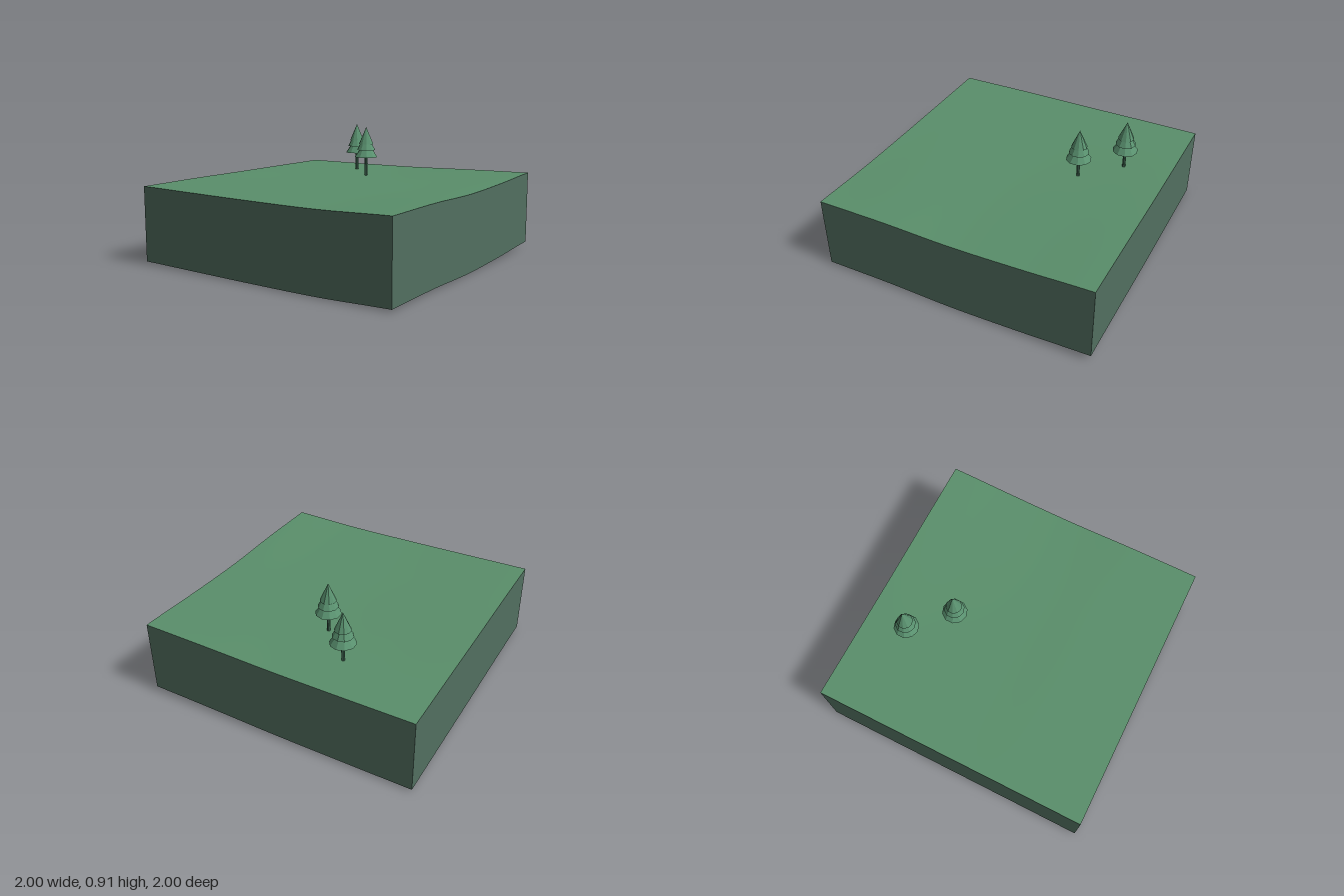
import * as THREE from 'three';

const SKIRT = 0.533; // depth of the walls below the ground line

// Heights along each ground edge, at five even steps
const edge = (...h) => new THREE.SplineCurve(h.map((y, i) => new THREE.Vector2(i / 4, y)));
const front = edge(0.548, 0.541, 0.535, 0.534, 0.548); // x from -1 to 1
const back = edge(0.548, 0.549, 0.553, 0.566, 0.575);
const left = edge(0.575, 0.553, 0.540, 0.550, 0.548); // z from -1 to 1, at x = 1
const right = edge(0.548, 0.549, 0.549, 0.551, 0.548); // at x = -1
const at = (curve, t) => curve.getPoint(THREE.MathUtils.clamp(t, 0, 1)).y;

// Ground height: blend of the four edge curves
function groundHeight(x, z) {
  const u = (x + 1) / 2, v = (z + 1) / 2, mix = THREE.MathUtils.lerp;
  const alongZ = mix(at(back, u), at(front, u), v);
  const alongX = mix(at(right, v), at(left, v), u);
  const corners = mix(mix(at(back, 0), at(back, 1), u), mix(at(front, 0), at(front, 1), u), v);
  return alongZ + alongX - corners;
}

function shift(geometry, rule) {
  const p = geometry.attributes.position;
  for (let i = 0; i < p.count; i++) p.setY(i, rule(p.getX(i), p.getY(i), p.getZ(i)));
  geometry.computeVertexNormals();
  return geometry;
}

export function createModel() {
  const model = new THREE.Group();
  const grass = new THREE.MeshStandardMaterial({ color: 0x5a8f6b, side: THREE.DoubleSide });
  grass.name = 'grass green';
  const earth = new THREE.MeshStandardMaterial({ color: 0x526f60, side: THREE.DoubleSide });
  earth.name = 'grey green earth';
  const foliage = new THREE.MeshStandardMaterial({ color: 0x5a9270, flatShading: true });
  foliage.name = 'foliage green';
  const bark = new THREE.MeshStandardMaterial({ color: 0x47705a, flatShading: true });
  bark.name = 'dark green bark';

  const add = (parent, name, geometry, material) => {
    const mesh = new THREE.Mesh(geometry, material);
    mesh.name = name;
    parent.add(mesh);
    return mesh;
  };

  // Gently rolling ground sheet
  const sheet = new THREE.PlaneGeometry(2, 2, 32, 32).rotateX(-Math.PI / 2);
  add(model, 'ground', shift(sheet, (x, y, z) => groundHeight(x, z)), grass);

  // Four walls that follow the ground line; the underside stays open
  ['frontWall', 'leftWall', 'backWall', 'rightWall'].forEach((name, i) => {
    const wall = new THREE.PlaneGeometry(2, 1, 32, 1).translate(0, 0, 1).rotateY(i * Math.PI / 2);
    add(model, name, shift(wall, (x, y, z) => groundHeight(x, z) - (y < 0 ? SKIRT : 0)), earth);
  });

  // Conifers: a thin trunk under three overlapping cones
  const tiers = [[0.09, 0.133, 0.13], [0.072, 0.187, 0.13], [0.057, 0.232, 0.13]]; // radius, base, height
  for (const [x, z] of [[-0.335, -0.667], [-0.085, -0.417]]) {
    const tree = new THREE.Group();
    tree.name = 'tree';
    tree.position.set(x, 0.55, z);
    add(tree, 'trunk', new THREE.CylinderGeometry(0.012, 0.012, 0.16, 8), bark).position.y = 0.07;
    for (const [radius, base, height] of tiers) {
      const cone = new THREE.ConeGeometry(radius, height, 10);
      add(tree, 'foliageTier', cone, foliage).position.y = base + height / 2;
    }
    model.add(tree);
  }
  return model;
}
